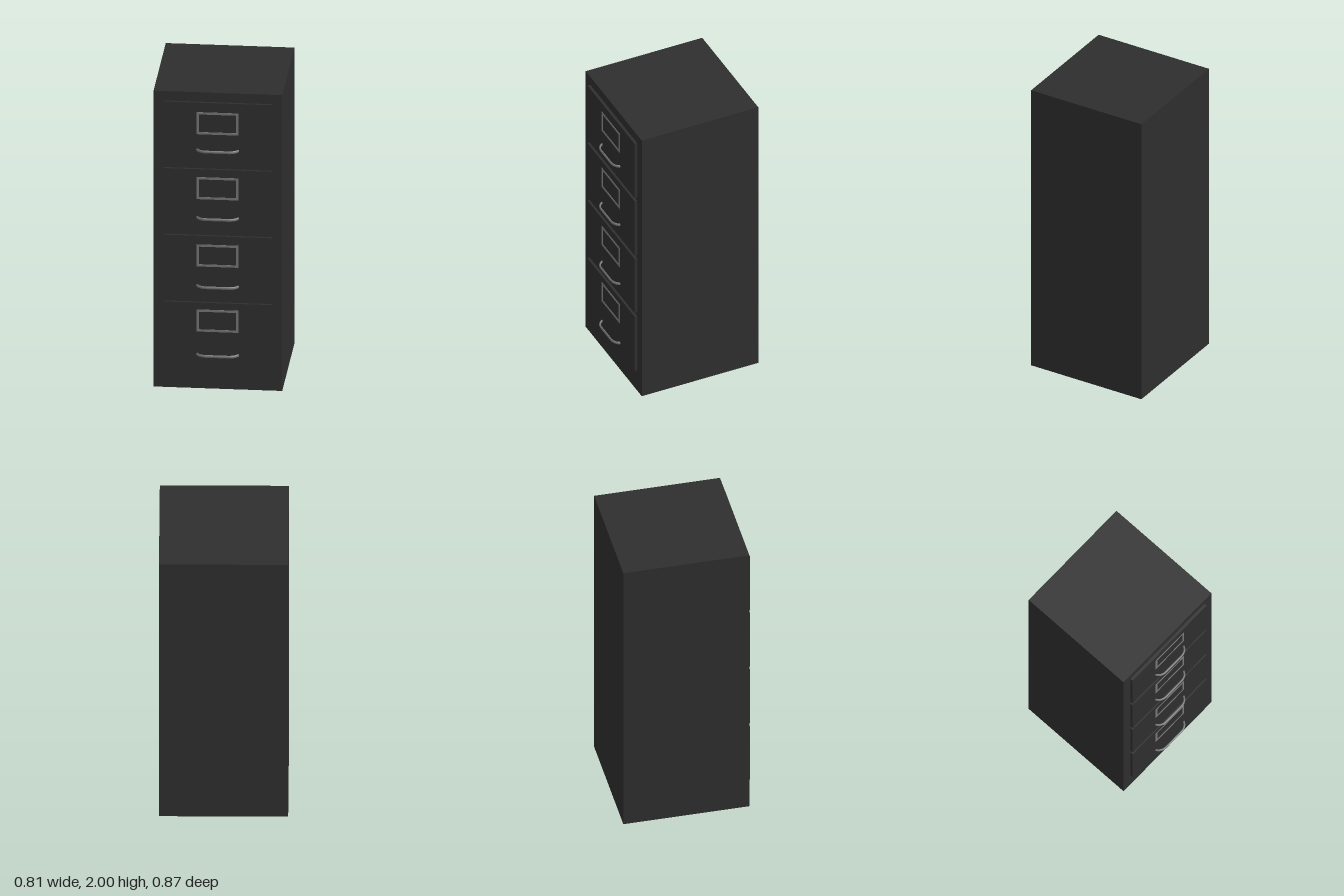
import * as THREE from 'three';

const charcoal = new THREE.MeshStandardMaterial({ name: 'charcoal steel', color: 0x2e2e2e });
const grey = new THREE.MeshStandardMaterial({ name: 'grey metal', color: 0x787878 });

const FRONT = 0.376; // front plane of the cabinet
const FACE = 0.395; // front plane of the drawers

function box(name, w, h, d, x, y, z, material) {
  const mesh = new THREE.Mesh(new THREE.BoxGeometry(w, h, d), material);
  mesh.name = name;
  mesh.position.set(x, y, z);
  return mesh;
}

// Thin rectangular border that holds the drawer label
function labelFrame(w, h, t) {
  const shape = new THREE.Shape();
  shape.moveTo(-w / 2, -h / 2).lineTo(w / 2, -h / 2).lineTo(w / 2, h / 2).lineTo(-w / 2, h / 2).closePath();
  const a = w / 2 - t, b = h / 2 - t;
  const hole = new THREE.Path();
  hole.moveTo(-a, -b).lineTo(-a, b).lineTo(a, b).lineTo(a, -b).closePath();
  shape.holes.push(hole);
  return new THREE.ExtrudeGeometry(shape, { depth: 0.003, bevelEnabled: false });
}

// Bow handle: straight bar with rounded corners, swept as a flattened tube
function handle() {
  const p = (x, z) => new THREE.Vector3(x, 0, z);
  const path = new THREE.CurvePath();
  path.add(new THREE.CubicBezierCurve3(p(-0.131, -0.006), p(-0.125, 0.018), p(-0.1, 0.035), p(-0.07, 0.035)));
  path.add(new THREE.LineCurve3(p(-0.07, 0.035), p(0.07, 0.035)));
  path.add(new THREE.CubicBezierCurve3(p(0.07, 0.035), p(0.1, 0.035), p(0.125, 0.018), p(0.131, -0.006)));
  const geometry = new THREE.TubeGeometry(path, 48, 0.006, 12, false);
  geometry.scale(1, 1.6, 1);
  geometry.computeVertexNormals();
  return geometry;
}

export function createModel() {
  const cabinet = new THREE.Group();
  cabinet.name = 'filingCabinet';
  cabinet.add(box('body', 0.812, 2, 0.812, 0, 1, FRONT - 0.406, charcoal));

  const frameGeometry = labelFrame(0.264, 0.149, 0.015);
  const handleGeometry = handle();

  // Heights of each drawer's centre, label frame and handle
  const drawers = [
    [1.725, 1.799, 1.619],
    [1.275, 1.36, 1.162],
    [0.825, 0.905, 0.701],
    [0.373, 0.465, 0.237],
  ];
  drawers.forEach(([y, frameY, handleY], i) => {
    const drawer = new THREE.Group();
    drawer.name = `drawer${i + 1}`;
    drawer.add(box('drawerFront', 0.684, 0.424, FACE - FRONT + 0.004, 0, y, (FACE + FRONT - 0.004) / 2, charcoal));

    const frame = new THREE.Mesh(frameGeometry, grey);
    frame.name = 'labelFrame';
    frame.position.set(0, frameY, FACE - 0.0005);

    const pull = new THREE.Mesh(handleGeometry, grey);
    pull.name = 'handle';
    pull.position.set(0, handleY, FACE);

    drawer.add(frame, pull);
    cabinet.add(drawer);
  });
  return cabinet;
}
